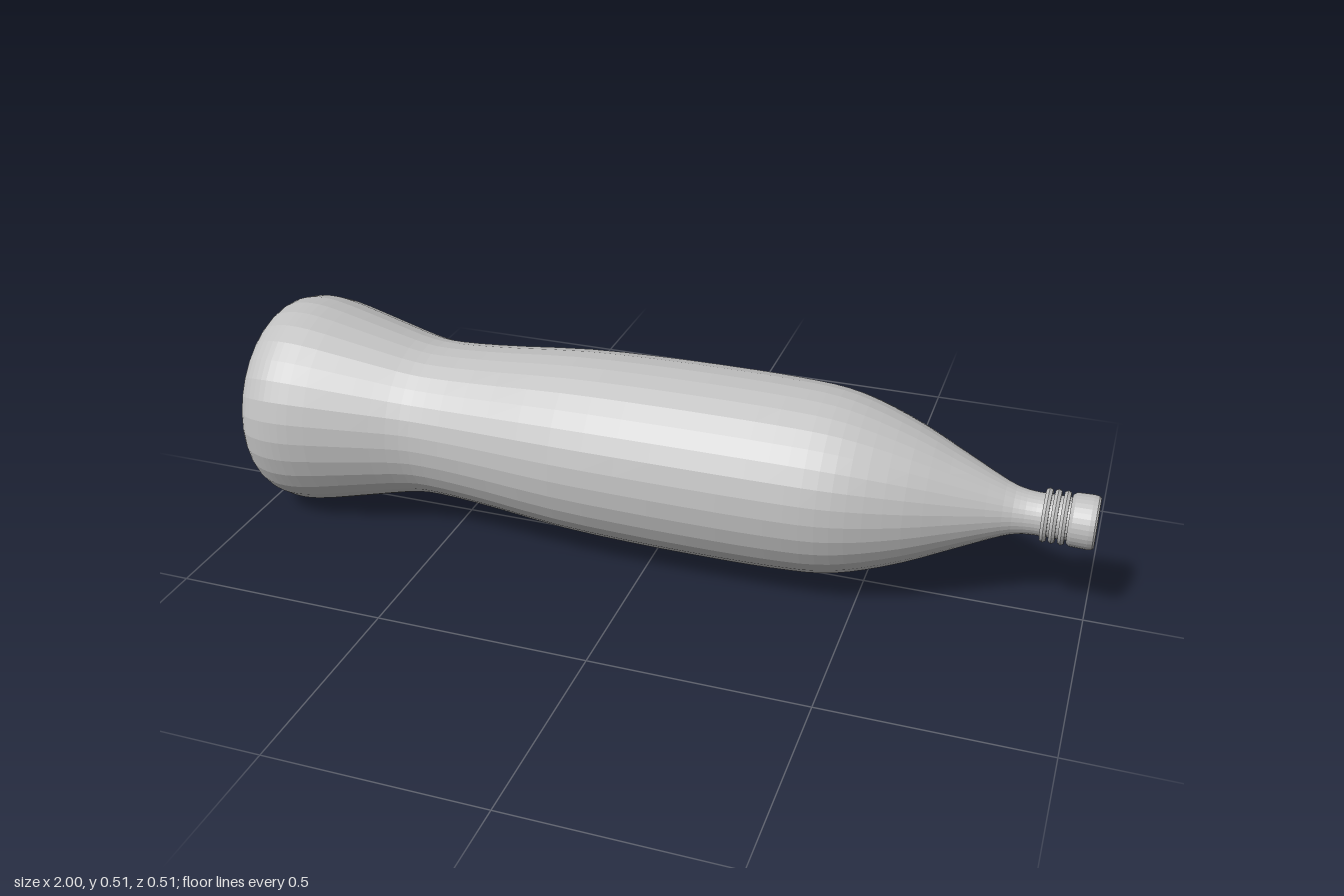
import * as THREE from 'three';

const SIDES = 32;

export function createModel() {
  const grey = new THREE.MeshStandardMaterial({ color: 0xc0c0c0, flatShading: true });
  grey.name = 'grey';

  // Everything is turned around the y axis, then laid down along +x
  const bottle = new THREE.Group();
  bottle.name = 'bottle';
  bottle.rotation.z = -Math.PI / 2;
  bottle.position.y = 0.254;

  const lathe = (name, points) => {
    const mesh = new THREE.Mesh(new THREE.LatheGeometry(points, SIDES), grey);
    mesh.name = name;
    bottle.add(mesh);
    return mesh;
  };
  const toPoints = (list) => list.map(([r, x]) => new THREE.Vector2(r, x));

  // Body: flat base, rounded foot, waist, belly and shoulder narrowing to the neck
  const profile = new THREE.SplineCurve(toPoints([
    [0.185, -1], [0.212, -0.99], [0.237, -0.965], [0.25, -0.93], [0.254, -0.89],
    [0.247, -0.83], [0.216, -0.7], [0.193, -0.6], [0.188, -0.53], [0.196, -0.4],
    [0.215, -0.2], [0.222, 0], [0.223, 0.2], [0.22, 0.33], [0.213, 0.42],
    [0.194, 0.5], [0.157, 0.6], [0.11, 0.7], [0.063, 0.8], [0.051, 0.84], [0.048, 0.87],
  ]));
  lathe('body', [
    new THREE.Vector2(0, -1),
    ...profile.getPoints(50),
    new THREE.Vector2(0.048, 0.95),
  ]);

  // Neck threads: three thin rings
  [0.89, 0.909, 0.929].forEach((x, i) => {
    const ring = new THREE.Mesh(new THREE.TorusGeometry(0.053, 0.008, 6, SIDES), grey);
    ring.name = 'neckRing' + (i + 1);
    ring.rotation.x = Math.PI / 2;
    ring.position.y = x;
    bottle.add(ring);
  });

  // Cap with softened edges
  lathe('cap', toPoints([
    [0, 0.94], [0.054, 0.94], [0.06, 0.948], [0.061, 0.985], [0.059, 0.996], [0.055, 1], [0, 1],
  ]));

  const model = new THREE.Group();
  model.name = 'lyingBottle';
  model.add(bottle);
  return model;
}
